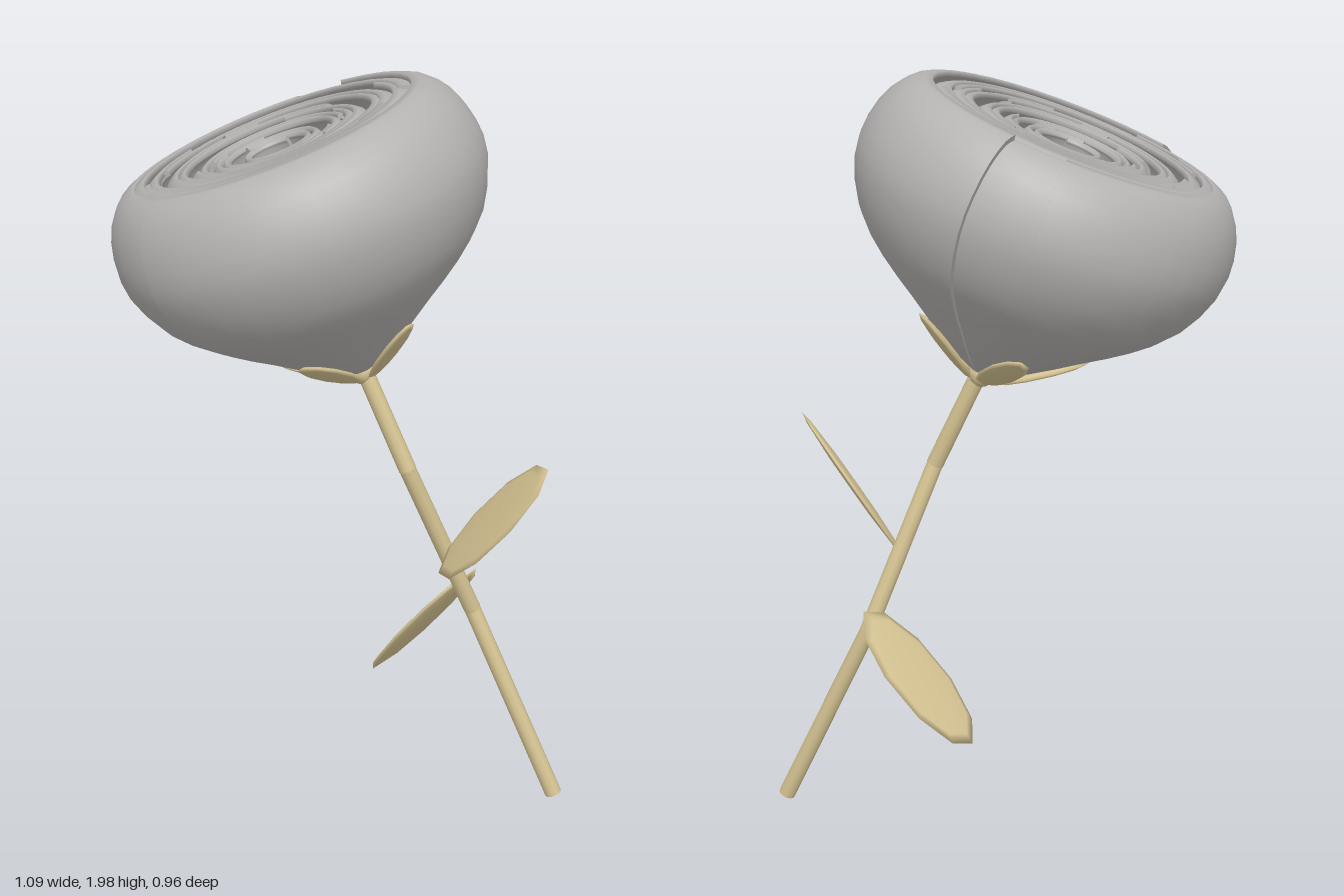
import * as THREE from 'three';

const petalMat = new THREE.MeshStandardMaterial({ color: 0xb5b3b1, side: THREE.DoubleSide });
petalMat.name = 'petal grey';
const leafMat = new THREE.MeshStandardMaterial({ color: 0xd6c493 });
leafMat.name = 'leaf tan';

const V = (x, y, z) => new THREE.Vector3(x, y, z);
const rad = THREE.MathUtils.degToRad;

// Petal profile: radius against height along the bloom axis
const profile = [
  [0.02, 0], [0.12, 0.055], [0.243, 0.145], [0.35, 0.225], [0.433, 0.31],
  [0.482, 0.42], [0.483, 0.51], [0.455, 0.59], [0.41, 0.64], [0.368, 0.655],
];

// Closed cross-section of a petal, scaled towards the axis
function petalSection(scale, height, thickness) {
  const curve = new THREE.SplineCurve(profile.map(([r, t]) => new THREE.Vector2(r * scale, t * height)));
  const outer = [], inner = [];
  const n = 18;
  for (let i = 0; i <= n; i++) {
    const p = curve.getPoint(i / n), d = curve.getTangent(i / n);
    outer.push(p);
    inner.unshift(new THREE.Vector2(Math.max(0.001, p.x - d.y * thickness), p.y + d.x * thickness));
  }
  return [...outer, ...inner, outer[0].clone()];
}

// One curved petal with thickness and closed side edges; angles in degrees
function petal(name, scale, height, start, span) {
  const group = new THREE.Group();
  group.name = name;
  const section = petalSection(scale, height, 0.014);
  const segments = Math.max(10, Math.round(span / 10));
  group.add(new THREE.Mesh(new THREE.LatheGeometry(section, segments, rad(start), rad(span)), petalMat));
  const capGeo = new THREE.ShapeGeometry(new THREE.Shape(section));
  for (const phi of [start, start + span]) {
    const cap = new THREE.Mesh(capGeo, petalMat);
    cap.rotation.y = rad(phi - 90);
    group.add(cap);
  }
  return group;
}

// Flattened ten-sided leaf blade: centre, long direction, width direction
function blade(name, centre, along, across, halfLength, halfWidth, halfThick) {
  const x = along.clone().normalize();
  const y = across.clone().cross(x).normalize();
  const z = x.clone().cross(y);
  const mesh = new THREE.Mesh(new THREE.SphereGeometry(1, 10, 6), leafMat);
  mesh.name = name;
  mesh.quaternion.setFromRotationMatrix(new THREE.Matrix4().makeBasis(x, y, z));
  mesh.position.copy(centre);
  mesh.scale.set(halfLength, halfThick, halfWidth);
  return mesh;
}

function bloom() {
  const head = new THREE.Group();
  head.name = 'bloom';
  // Large outer petals
  head.add(petal('outerPetalRight', 1, 1, -2, 197));
  head.add(petal('outerPetalLeft', 0.975, 0.99, -145, 155));
  head.add(petal('outerPetalBack', 0.945, 0.985, 145, 160));
  // Nested rings of two overlapping petals each
  for (let k = 1; k <= 8; k++) {
    const s = 1 - 0.095 * k, h = 1 - 0.006 * k, start = k * 137;
    head.add(petal('innerPetal', s, h, start, 205));
    head.add(petal('innerPetal', s - 0.04, h - 0.004, start + 185, 205));
  }
  // Bud in the middle
  const bud = new THREE.Mesh(new THREE.SphereGeometry(1, 16, 10), petalMat);
  bud.name = 'bud';
  bud.scale.set(0.085, 0.14, 0.085);
  bud.position.y = 0.38;
  head.add(bud);
  // Five sepals under the petals
  for (let i = 0; i < 5; i++) {
    const a = i * Math.PI * 2 / 5, c = Math.cos(a), s = Math.sin(a);
    head.add(blade('sepal', V(0.137 * c, 0.057, 0.137 * s), V(0.82 * c, 0.57, 0.82 * s),
      V(-s, 0, c), 0.13, 0.048, 0.012));
  }
  // Small receptacle joining bloom and stem
  const cup = new THREE.Mesh(new THREE.SphereGeometry(0.035, 10, 8), leafMat);
  cup.name = 'receptacle';
  head.add(cup);
  head.position.set(0.05, 1.235, -0.12);
  head.quaternion.setFromUnitVectors(V(0, 1, 0), V(-0.27, 0.935, 0.23).normalize());
  return head;
}

function stem() {
  const group = new THREE.Group();
  group.name = 'stem';
  const points = [V(0.488, 0.01, -0.447), V(0.256, 0.54, -0.345), V(0.167, 0.98, -0.172), V(0.05, 1.25, -0.12)];
  for (let i = 0; i < 3; i++) {
    const dir = points[i + 1].clone().sub(points[i]);
    const part = new THREE.Mesh(new THREE.CylinderGeometry(0.022, 0.023, dir.length(), 10), leafMat);
    part.name = 'stemSegment';
    part.position.copy(points[i]).addScaledVector(dir, 0.5);
    part.quaternion.setFromUnitVectors(V(0, 1, 0), dir.normalize());
    group.add(part);
    if (i > 0) {
      const joint = new THREE.Mesh(new THREE.SphereGeometry(0.0222, 10, 8), leafMat);
      joint.name = 'stemJoint';
      joint.position.copy(points[i]);
      group.add(joint);
    }
  }
  return group;
}

export function createModel() {
  const model = new THREE.Group();
  model.name = 'flower';
  model.add(bloom(), stem());
  // Two leaves on the stem
  model.add(blade('upperLeaf', V(0.398, 0.882, -0.243), V(0.28, 0.36, -0.08), V(0.063, -0.033, 0.065), 0.234, 0.092, 0.011));
  model.add(blade('lowerLeaf', V(0.093, 0.447, -0.33), V(0.24, 0.35, -0.14), V(0.187, 0.273, 1), 0.228, 0.087, 0.011));
  return model;
}
